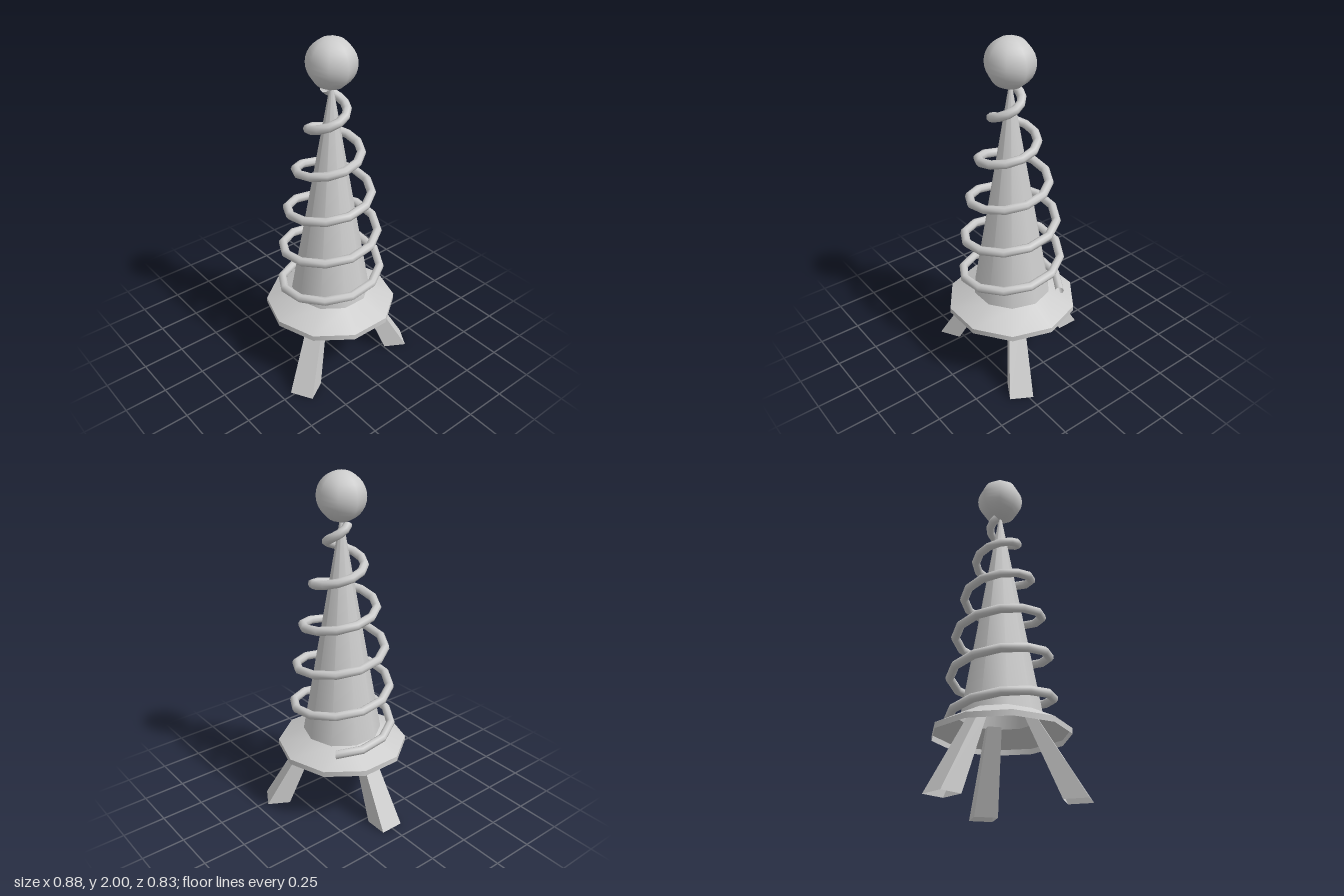
import * as THREE from 'three';

const smooth = new THREE.MeshStandardMaterial({ color: 0xcccccc, side: THREE.DoubleSide });
const faceted = new THREE.MeshStandardMaterial({ color: 0xcccccc, side: THREE.DoubleSide, flatShading: true });

function add(parent, name, geometry, material = smooth) {
  const mesh = new THREE.Mesh(geometry, material);
  mesh.name = name;
  parent.add(mesh);
  return mesh;
}

// Open ten-sided ring between two heights, with corners on the x axis
function ring(topRadius, bottomRadius, top, bottom) {
  return new THREE.CylinderGeometry(topRadius, bottomRadius, top - bottom, 10, 1, true)
    .rotateY(Math.PI / 2)
    .translate(0, (top + bottom) / 2, 0);
}

// Rising spiral that tightens towards the top, with evenly spaced angles
class Spiral extends THREE.Curve {
  getPoint(t, target = new THREE.Vector3()) {
    const a = THREE.MathUtils.degToRad(-45 + t * 1860);
    const y = 0.485 + 0.245 * a / (2 * Math.PI);
    const u = (y - 0.5) / 1.24;
    const r = 0.29 * (1 - 0.88 * u * u);
    return target.set(-r * Math.sin(a), y, -r * Math.cos(a));
  }
  getPointAt(t, target) { return this.getPoint(t, target); }
  getTangentAt(t, target) { return this.getTangent(t, target); }
}

// Splayed, tapered square leg pointing towards +z, open at the ends
function legGeometry() {
  const geometry = new THREE.CylinderGeometry(1, 1, 1, 4, 1, true).rotateY(Math.PI / 4);
  const p = geometry.attributes.position;
  for (let i = 0; i < p.count; i++) {
    const top = p.getY(i) > 0;
    const outer = p.getZ(i) > 0;
    const x = Math.sign(p.getX(i)) * (top ? 0.04 : 0.068);
    const z = top ? (outer ? 0.196 : 0.137) : (outer ? 0.468 : 0.335);
    p.setXYZ(i, x, top ? 0.46 : 0, z);
  }
  geometry.computeVertexNormals();
  return geometry;
}

export function createModel() {
  const group = new THREE.Group();
  const body = new THREE.Group();
  body.name = 'spire';
  body.position.z = 0.053;
  group.add(body);

  // Tapering mast and flared base
  add(body, 'mast', ring(0.008, 0.23, 1.745, 0.47));
  add(body, 'skirt', ring(0.23, 0.382, 0.47, 0.392));
  add(body, 'skirtRim', ring(0.382, 0.382, 0.392, 0.36));

  // Ball on the tip
  add(body, 'ball', new THREE.SphereGeometry(0.136, 8, 16)).position.y = 1.864;

  // Coil around the mast
  add(body, 'coil', new THREE.TubeGeometry(new Spiral(), 62, 0.025, 8, false));

  // Three legs
  const leg = legGeometry();
  for (let i = 0; i < 3; i++) {
    add(body, 'leg', leg, faceted).rotation.y = Math.PI + i * 2 * Math.PI / 3;
  }
  return group;
}
